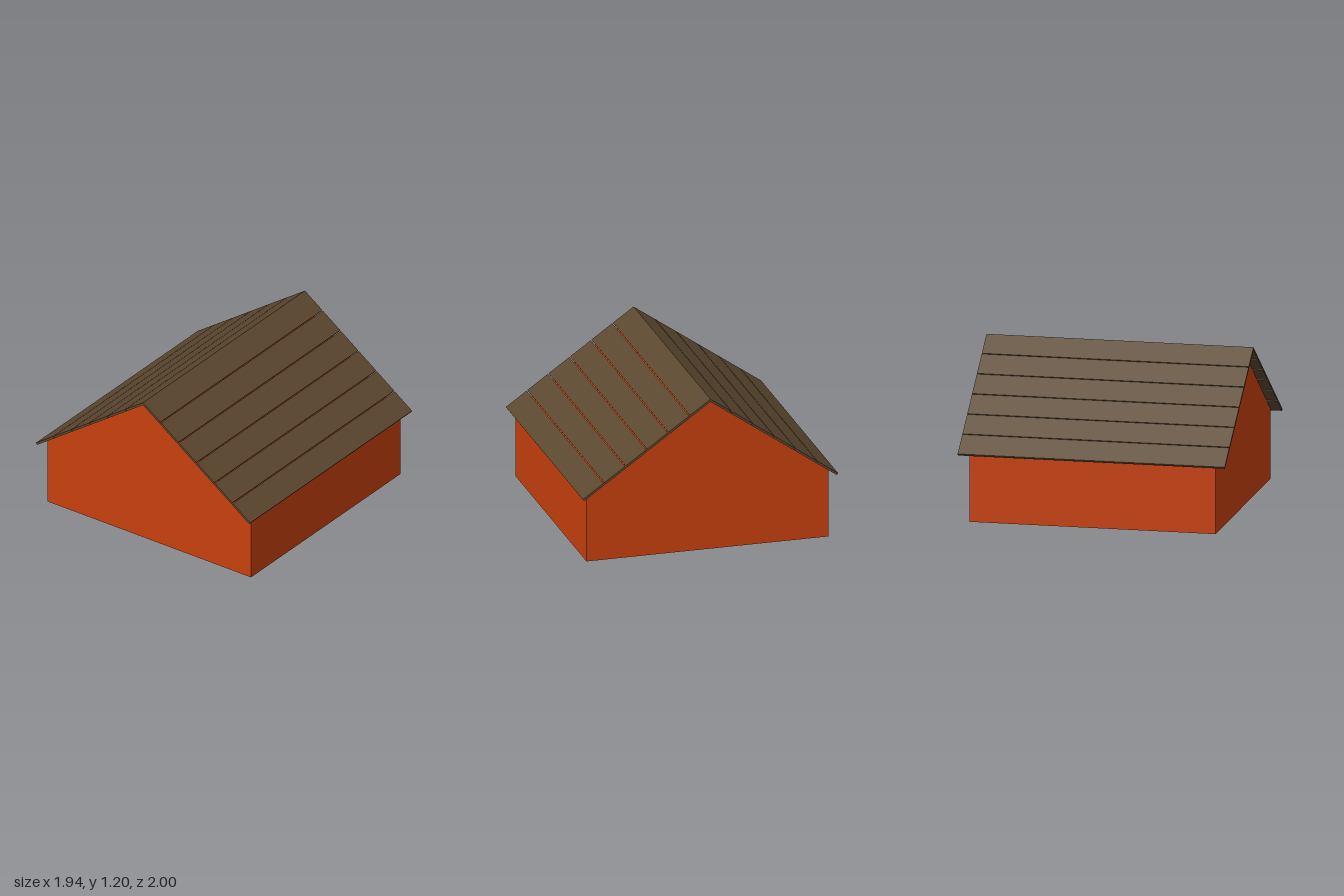
import * as THREE from 'three';

export function createModel() {
  const group = new THREE.Group();
  const wallMat = new THREE.MeshStandardMaterial({ color: 0xc8400d });
  const roofMat = new THREE.MeshStandardMaterial({ color: 0x5c4830 });

  // Solid gabled body
  const half = 0.922;
  const gable = new THREE.Shape([
    new THREE.Vector2(-half, 0),
    new THREE.Vector2(half, 0),
    new THREE.Vector2(half, 0.525),
    new THREE.Vector2(0, 1.175),
    new THREE.Vector2(-half, 0.525),
  ]);
  const bodyGeo = new THREE.ExtrudeGeometry(gable, { depth: 2 * half, bevelEnabled: false });
  bodyGeo.translate(0, 0, -half);
  const body = new THREE.Mesh(bodyGeo, wallMat);
  body.name = 'houseBody';
  group.add(body);

  // Six roof planks per slope, with narrow gaps, hung from the ridge
  const pitch = THREE.MathUtils.degToRad(35);
  const planks = 6, spacing = 0.199, gap = 0.007, thickness = 0.017;
  const plankGeo = new THREE.BoxGeometry(spacing - gap, thickness, 2);
  for (const side of [1, -1]) {
    const slope = new THREE.Group();
    slope.name = side > 0 ? 'leftRoofSlope' : 'rightRoofSlope';
    slope.position.y = 1.198;
    slope.rotation.z = -side * pitch;
    for (let i = 0; i < planks; i++) {
      const plank = new THREE.Mesh(plankGeo, roofMat);
      plank.name = 'roofPlank';
      plank.position.set(side * ((i + 0.5) * spacing - gap / 2), -thickness / 2, 0);
      slope.add(plank);
    }
    group.add(slope);
  }
  return group;
}
